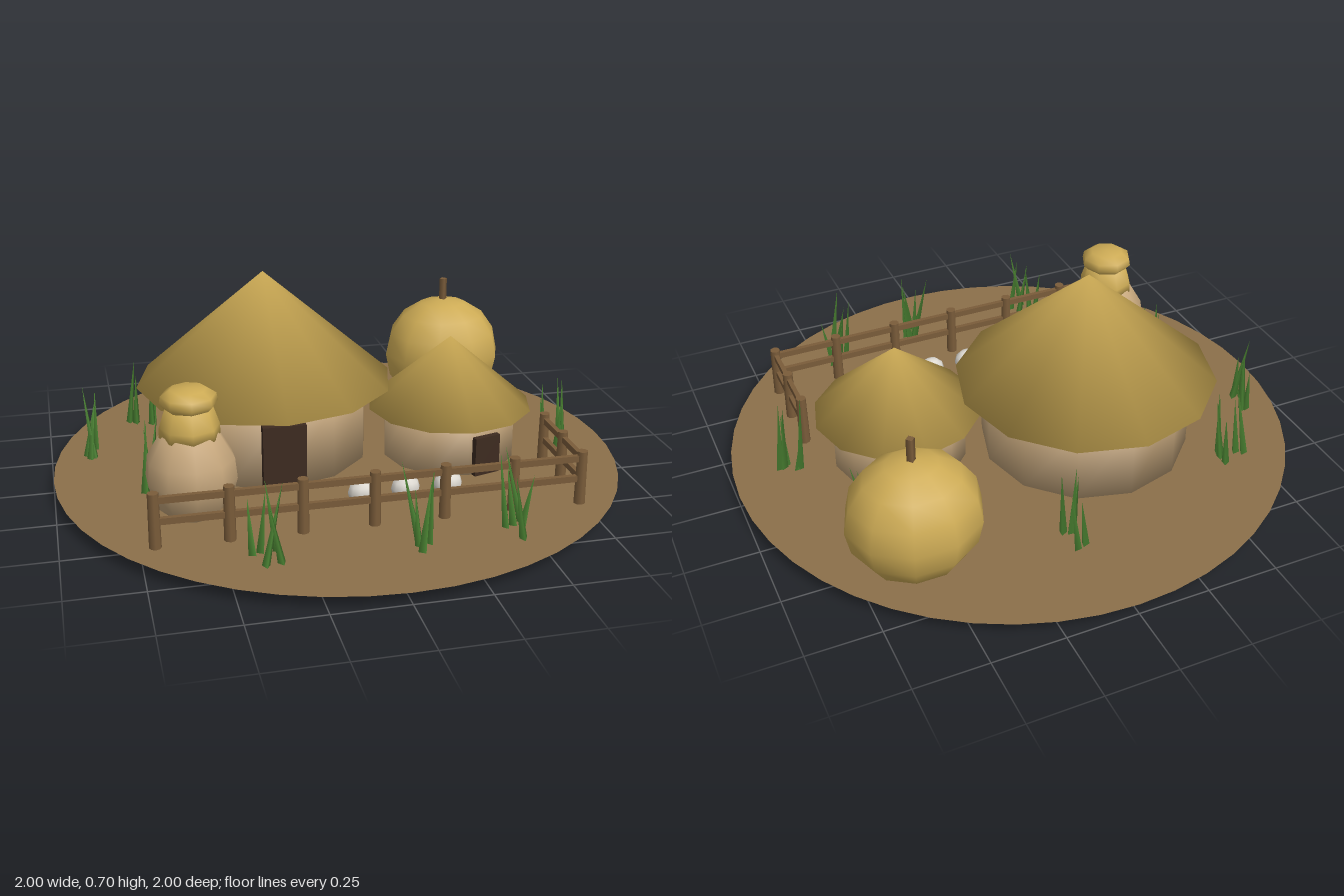
import * as THREE from 'three';
import { mergeVertices } from 'three/addons/utils/BufferGeometryUtils.js';

const GROUND = 0.04;

function makeMaterial(name, color, doubleSided = false) {
  const m = new THREE.MeshStandardMaterial({ color });
  m.name = name;
  if (doubleSided) m.side = THREE.DoubleSide;
  return m;
}

// Weld a geometry and give it angle-weighted normals, so rims shade softly
function soften(source) {
  source.deleteAttribute('normal');
  source.deleteAttribute('uv');
  const geo = mergeVertices(source, 1e-4);
  const pos = geo.attributes.position;
  const sums = Array.from({ length: pos.count }, () => new THREE.Vector3());
  const p = [0, 1, 2].map(() => new THREE.Vector3());
  const normal = new THREE.Vector3(), a = new THREE.Vector3(), b = new THREE.Vector3();
  for (let i = 0; i < geo.index.count; i += 3) {
    const ids = [0, 1, 2].map((k) => geo.index.getX(i + k));
    ids.forEach((id, k) => p[k].fromBufferAttribute(pos, id));
    normal.crossVectors(a.subVectors(p[1], p[0]), b.subVectors(p[2], p[0]));
    if (normal.length() < 1e-10) continue;
    normal.normalize();
    ids.forEach((id, k) => {
      a.subVectors(p[(k + 1) % 3], p[k]);
      b.subVectors(p[(k + 2) % 3], p[k]);
      sums[id].addScaledVector(normal, a.angleTo(b));
    });
  }
  const out = sums.flatMap((v) => v.normalize().toArray());
  geo.setAttribute('normal', new THREE.Float32BufferAttribute(out, 3));
  return geo;
}

function seeded(seed) {
  let s = seed;
  return () => (s = (s * 16807) % 2147483647) / 2147483647;
}

export function createModel() {
  const root = new THREE.Group();
  root.name = 'hutVillage';

  const earth = makeMaterial('earth', 0x8b6f4a, true);
  const mud = makeMaterial('mud', 0xc4a57b);
  const thatch = makeMaterial('thatch', 0xcdab55);
  const doorWood = makeMaterial('darkDoor', 0x3d2b20);
  const wood = makeMaterial('wood', 0x7a5c3a);
  const stoneGrey = makeMaterial('paleStone', 0xdcd8d0);
  const grassGreen = makeMaterial('grass', 0x4a8232);

  function add(parent, name, geo, mat, x = 0, y = 0, z = 0) {
    const mesh = new THREE.Mesh(geo, mat);
    mesh.name = name;
    mesh.position.set(x, y, z);
    parent.add(mesh);
    return mesh;
  }
  function group(name, x, z) {
    const g = new THREE.Group();
    g.name = name;
    g.position.set(x, 0, z);
    root.add(g);
    return g;
  }

  // Ground disc
  add(root, 'ground', new THREE.CircleGeometry(1, 48).rotateX(-Math.PI / 2), earth, 0, GROUND, 0);

  // Round huts: mud wall, cone roof and a dark doorway
  function hut(name, x, z, o) {
    const g = group(name, x, z);
    const base = GROUND - 0.003;
    const h = o.eave + 0.01 - base;
    const wall = soften(new THREE.CylinderGeometry(o.wall, o.wall, h, 12));
    add(g, 'wall', wall, mud, 0, base + h / 2, 0);
    const rh = o.apex - o.eave;
    const roof = soften(new THREE.ConeGeometry(o.roof, rh, 12));
    add(g, 'roof', roof, thatch, 0, o.eave + rh / 2, 0);
    const [w, dh] = o.door;
    const turn = new THREE.Group();
    turn.name = 'doorway';
    turn.rotation.y = o.turn;
    g.add(turn);
    add(turn, 'door', new THREE.BoxGeometry(w, dh, 0.05), doorWood, 0, GROUND + dh / 2, o.wall - 0.012);
  }
  hut('largeHut', -0.23, -0.15, {
    wall: 0.37, roof: 0.46, eave: 0.305, apex: 0.705, door: [0.15, 0.23], turn: 0,
  });
  hut('smallHut', 0.41, 0.03, {
    wall: 0.237, roof: 0.295, eave: 0.222, apex: 0.475, door: [0.1, 0.14], turn: 0.28,
  });

  // Storage jar with a thatched collar and cap
  const lathe = (points, sides) =>
    soften(new THREE.LatheGeometry(points.map(([r, y]) => new THREE.Vector2(r, y)), sides));
  const jar = group('storageJar', -0.56, 0.335);
  add(jar, 'jarBody', lathe([
    [0, 0.03], [0.075, 0.037], [0.13, 0.09], [0.152, 0.17], [0.145, 0.24], [0.095, 0.325], [0, 0.335],
  ], 10), mud);
  add(jar, 'collar', lathe([[0, 0.305], [0.1, 0.315], [0.098, 0.35], [0.075, 0.42], [0, 0.42]], 8), thatch);
  add(jar, 'cap', lathe([
    [0, 0.395], [0.072, 0.405], [0.095, 0.43], [0.09, 0.455], [0.06, 0.475], [0, 0.478],
  ], 8), thatch);

  // Haystack with its centre pole
  const hay = group('haystack', 0.555, -0.522);
  const hayBall = soften(new THREE.SphereGeometry(0.23, 10, 8).scale(1, 0.955, 0.9));
  add(hay, 'hay', hayBall, thatch, 0, 0.22, 0);
  add(hay, 'pole', new THREE.CylinderGeometry(0.015, 0.015, 0.14, 4), wood, 0, 0.45, 0);

  // Row of pale stones
  [-0.003, 0.145, 0.293].forEach((x, i) => {
    const geo = new THREE.SphereGeometry(1, 10, 6).scale(0.05, 0.045, 0.038);
    add(root, `stone${i + 1}`, geo, stoneGrey, x, GROUND + 0.045, 0.4);
  });

  // Fence along the front and round the left corner
  const fence = group('fence', 0, 0);
  const FX = 0.705, FZ = 0.553;
  const postSpots = [];
  for (let i = 0; i < 7; i++) postSpots.push([-FX + i * 0.235, FZ]);
  postSpots.push([FX, 0.385], [FX, 0.218]);
  const postGeo = new THREE.CylinderGeometry(0.018, 0.02, 0.19, 8);
  postSpots.forEach(([x, z]) => add(fence, 'post', postGeo, wood, x, 0.132, z));
  for (const y of [0.13, 0.202]) {
    add(fence, 'frontRail', new THREE.BoxGeometry(2 * FX, 0.022, 0.016), wood, 0, y, FZ);
    add(fence, 'sideRail', new THREE.BoxGeometry(0.016, 0.022, FZ - 0.218), wood, FX, y, (FZ + 0.218) / 2);
  }

  // Grass clumps of thin leaning blades
  const rand = seeded(41);
  const spots = [
    [0.04, -0.65], [-0.65, -0.5], [-0.87, -0.22], [-0.68, 0.18], [0.59, -0.28],
    [0.785, 0.11], [0.43, 0.7], [0.09, 0.73], [-0.37, 0.71],
  ];
  spots.forEach(([cx, cz], n) => {
    const clump = group(`grassClump${n + 1}`, cx, cz);
    for (let i = 0; i < 5; i++) {
      const h = 0.18 + rand() * 0.1;
      const geo = new THREE.ConeGeometry(0.015, h, 3).translate(0, h / 2, 0);
      const x = (rand() - 0.5) * 0.1, z = (rand() - 0.5) * 0.12;
      const blade = add(clump, 'blade', geo, grassGreen, x, GROUND, z);
      blade.rotation.set((rand() - 0.5) * 0.3, rand() * 0.6, (rand() - 0.5) * 0.45);
    }
  });

  return root;
}
